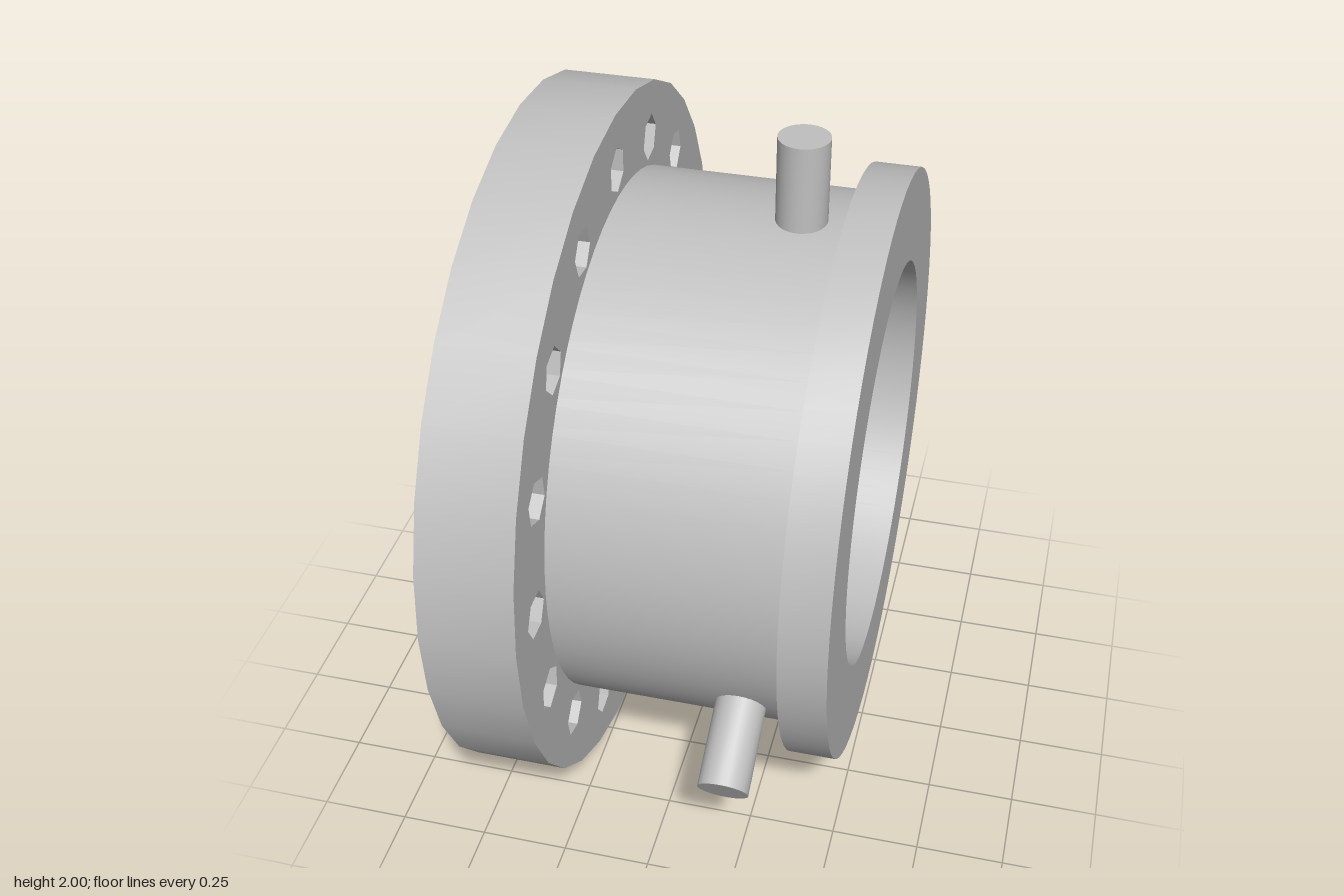
import * as THREE from 'three';
import { toCreasedNormals } from 'three/addons/utils/BufferGeometryUtils.js';

const TUBE_R = 0.76, BORE_R = 0.58;

// points of a regular polygon, first corner at angle "start"
function ring(cx, cy, radius, sides, start = 0) {
  return Array.from({ length: sides }, (_, i) => {
    const a = start + (i / sides) * Math.PI * 2;
    return new THREE.Vector2(cx + radius * Math.cos(a), cy + radius * Math.sin(a));
  });
}

export function createModel() {
  const model = new THREE.Group();
  model.name = 'flangedCollar';
  const steel = new THREE.MeshStandardMaterial({ color: 0xc0c0c0 });
  steel.name = 'grey steel';

  // everything is built around the x axis, one unit above the ground
  const add = (name, geometry) => {
    const mesh = new THREE.Mesh(toCreasedNormals(geometry, 0.5), steel);
    mesh.name = name;
    mesh.position.y = 1;
    model.add(mesh);
    return mesh;
  };

  // bolt flange: 32-sided ring with sixteen hexagonal bolt holes
  const flange = new THREE.Shape(ring(0, 0, 1, 32));
  flange.holes.push(new THREE.Path(ring(0, 0, TUBE_R, 64).reverse()));
  for (let i = 0; i < 16; i++) {
    const a = (i / 16) * Math.PI * 2;
    const hole = ring(0.84 * Math.cos(a), 0.84 * Math.sin(a), 0.065, 6, a);
    flange.holes.push(new THREE.Path(hole.reverse()));
  }
  const flangeGeometry = new THREE.ExtrudeGeometry(flange, { depth: 0.26, bevelEnabled: false });
  flangeGeometry.rotateY(Math.PI / 2).translate(-0.51, 0, 0);
  add('boltFlange', flangeGeometry);

  // tube with the narrower lip at its open end, set slightly back in the flange
  const profile = [
    [BORE_R, -0.48], [TUBE_R, -0.48], [TUBE_R, 0.38], [0.84, 0.38],
    [0.84, 0.51], [BORE_R, 0.51], [BORE_R, -0.48],
  ].map(([r, x]) => new THREE.Vector2(r, x));
  add('tubeAndLip', new THREE.LatheGeometry(profile, 64).rotateZ(-Math.PI / 2));

  // plate closing the bore near the flange
  const plate = new THREE.CylinderGeometry(BORE_R, BORE_R, 0.05, 64);
  add('borePlate', plate.rotateZ(-Math.PI / 2).translate(-0.355, 0, 0));

  // three radial pins
  for (let i = 0; i < 3; i++) {
    const pin = new THREE.CylinderGeometry(0.07, 0.07, 0.28, 24);
    pin.translate(0.25, 0.86, 0).rotateX((i / 3) * Math.PI * 2);
    add('radialPin' + (i + 1), pin);
  }
  return model;
}
